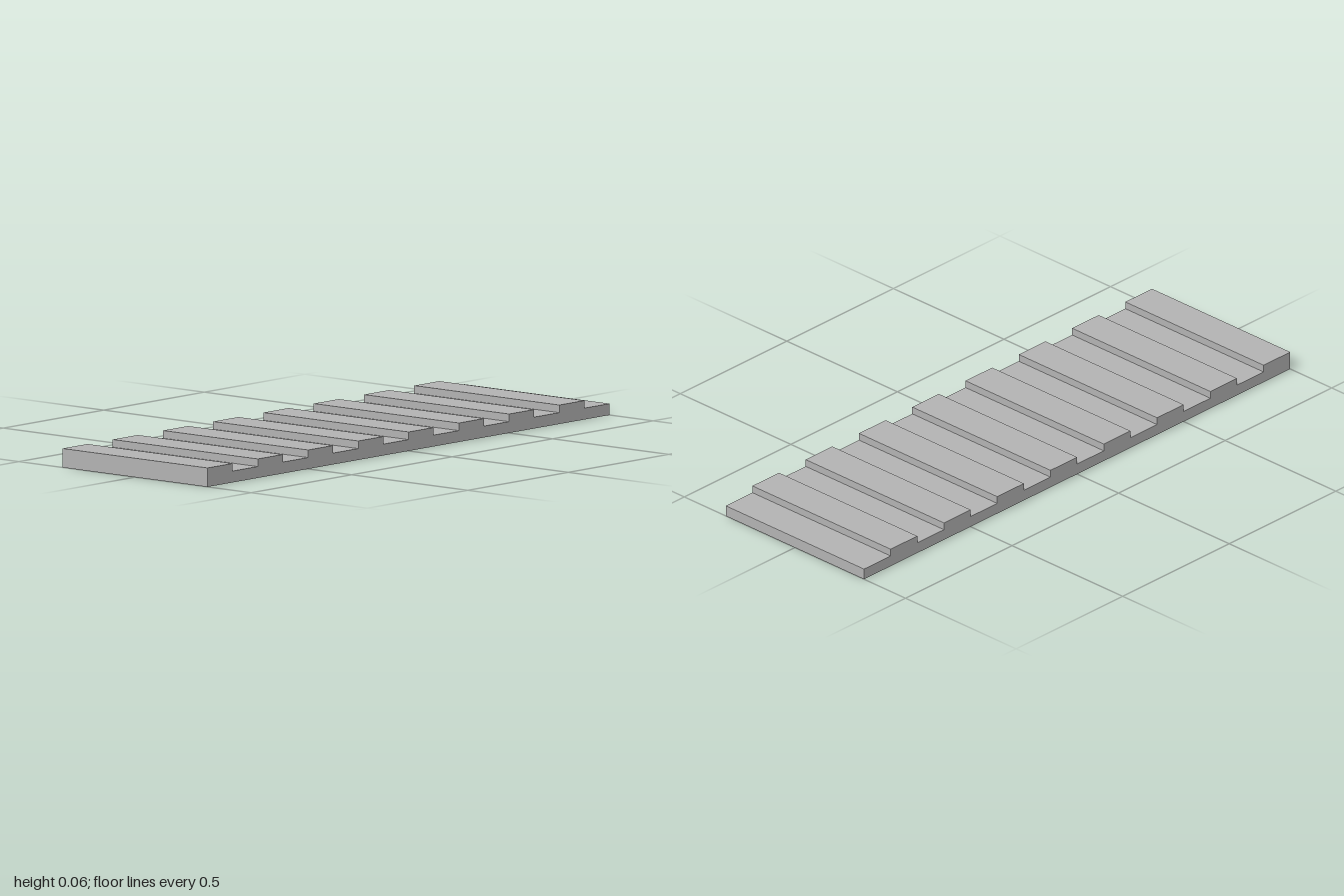
import * as THREE from 'three';

export function createModel() {
  const LENGTH = 2, DEPTH = 0.625, BASE = 0.0375, TOP = 0.0625;
  const RIDGES = 8, PITCH = LENGTH / RIDGES, RIDGE_WIDTH = PITCH / 2;

  const group = new THREE.Group();
  group.name = 'ribbedPanel';

  const grey = new THREE.MeshStandardMaterial({ color: 0xb2b2b2 });
  grey.name = 'grey';

  // Castellated profile: flat underside, evenly spaced square ridges on top
  const profile = new THREE.Shape();
  profile.moveTo(-LENGTH / 2, 0);
  profile.lineTo(LENGTH / 2, 0);
  for (let i = RIDGES - 1; i >= 0; i--) {
    const left = -LENGTH / 2 + i * PITCH;
    profile.lineTo(left + PITCH, BASE);
    profile.lineTo(left + RIDGE_WIDTH, BASE);
    profile.lineTo(left + RIDGE_WIDTH, TOP);
    profile.lineTo(left, TOP);
    if (i > 0) profile.lineTo(left, BASE);
  }
  profile.closePath();

  // Panel with its ridges running front to back
  const geometry = new THREE.ExtrudeGeometry(profile, { depth: DEPTH, bevelEnabled: false });
  geometry.translate(0, 0, -DEPTH / 2);
  const panel = new THREE.Mesh(geometry, grey);
  panel.name = 'panel';
  group.add(panel);

  return group;
}
